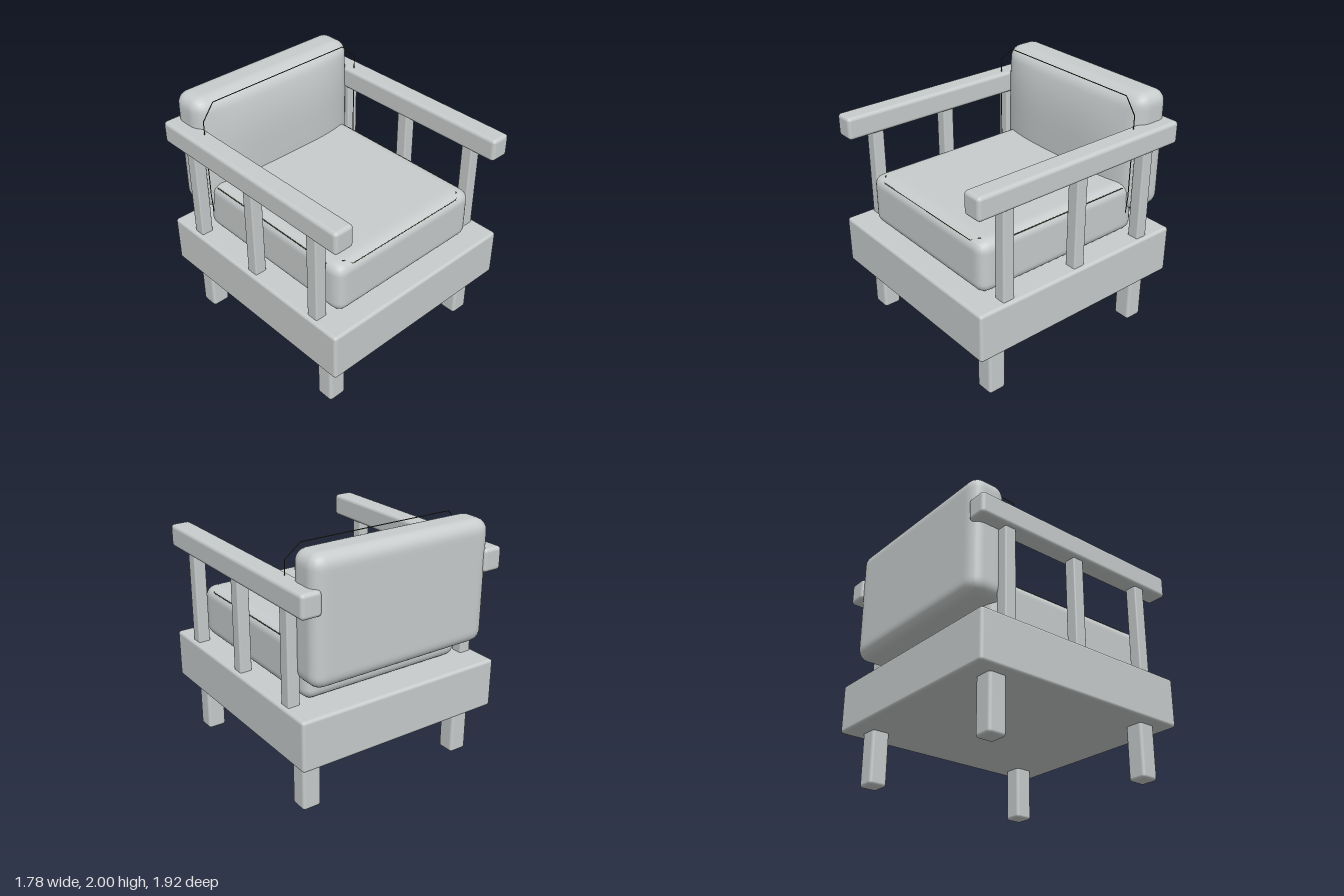
import * as THREE from 'three';
import { mergeVertices } from 'three/addons/utils/BufferGeometryUtils.js';
import { RoundedBoxGeometry } from 'three/addons/geometries/RoundedBoxGeometry.js';

const grey = new THREE.MeshStandardMaterial({ color: 0xc8cccc });
grey.name = 'light grey';
const olive = new THREE.MeshStandardMaterial({ color: 0x3c3f2a });
olive.name = 'dark piping';

// Slightly eased beam between two corners
function beam(name, x0, x1, y0, y1, z0, z1, r = 0.025) {
  const mesh = new THREE.Mesh(new RoundedBoxGeometry(x1 - x0, y1 - y0, z1 - z0, 3, r), grey);
  mesh.position.set((x0 + x1) / 2, (y0 + y1) / 2, (z0 + z1) / 2);
  mesh.name = name;
  return mesh;
}

// Soft block with rounded edges; warp(p) reshapes each point afterwards
function cushion(name, w, h, d, r, center, warp) {
  let geo = new THREE.BoxGeometry(w, h, d, 48, 36, 32);
  geo.deleteAttribute('uv');
  geo.deleteAttribute('normal');
  geo = mergeVertices(geo);
  const pos = geo.attributes.position;
  const inner = new THREE.Vector3(w / 2 - r, h / 2 - r, d / 2 - r);
  const p = new THREE.Vector3(), core = new THREE.Vector3();
  for (let i = 0; i < pos.count; i++) {
    p.fromBufferAttribute(pos, i);
    core.copy(p).clamp(inner.clone().negate(), inner);
    p.sub(core).setLength(r).add(core);
    if (warp) warp(p);
    pos.setXYZ(i, p.x, p.y, p.z);
  }
  geo.computeVertexNormals();
  const mesh = new THREE.Mesh(geo, grey);
  mesh.position.set(...center);
  mesh.name = name;
  return mesh;
}

// Thin cord following straight runs, mirrored across x = 0
function piping(name, half) {
  const pts = [...half, ...half.slice().reverse().map(([x, y, z]) => [-x, y, z])]
    .map((a) => new THREE.Vector3(...a));
  const path = new THREE.CurvePath();
  for (let i = 1; i < pts.length; i++) path.add(new THREE.LineCurve3(pts[i - 1], pts[i]));
  const mesh = new THREE.Mesh(new THREE.TubeGeometry(path, 160, 0.004, 6), olive);
  mesh.name = name;
  return mesh;
}

export function createModel() {
  const chair = new THREE.Group();
  chair.name = 'armchair';

  chair.add(beam('base', -0.89, 0.89, 0.435, 0.84, -0.96, 0.96));

  // Legs, posts and armrests on both sides
  for (const [side, s] of [['left', 1], ['right', -1]]) {
    const pair = (name, a, b, ...rest) =>
      chair.add(beam(side + name, Math.min(s * a, s * b), Math.max(s * a, s * b), ...rest));
    pair('FrontLeg', 0.64, 0.795, 0, 0.46, 0.66, 0.81);
    pair('BackLeg', 0.64, 0.795, 0, 0.46, -0.81, -0.66);
    for (const z of [0.68, 0, -0.675]) pair('ArmPost', 0.757, 0.857, 0.82, 1.61, z - 0.05, z + 0.05, 0.012);
    pair('Armrest', 0.72, 0.888, 1.585, 1.77, -0.96, 0.96, 0.03);
  }

  // Seat and padded back, whose front face swells toward the middle
  chair.add(cushion('seatCushion', 1.42, 0.43, 1.535, 0.085, [0, 1.05, 0.0375]));
  chair.add(cushion('backCushion', 1.56, 0.98, 0.3, 0.1, [0, 1.51, -0.8], (p) => {
    const u = Math.min(1, Math.abs(p.x) / 0.78);
    const v = Math.min(1, Math.abs(p.y + 0.11) / 0.62);
    const front = THREE.MathUtils.smoothstep(p.z, 0, 0.15);
    p.z += 0.09 * front * (1 - u ** 4) * (1 - v ** 3);
  }));

  // Cord trim
  chair.add(piping('seatPiping', [
    [0.69, 1.235, -0.6], [0.69, 1.235, 0.65], [0.6, 1.262, 0.74], [0.56, 1.235, 0.782],
  ]));
  chair.add(piping('backPiping', [
    [0.765, 1.06, -0.57], [0.77, 1.2, -0.58], [0.775, 1.88, -0.58], [0.66, 1.994, -0.605],
  ]));
  return chair;
}
